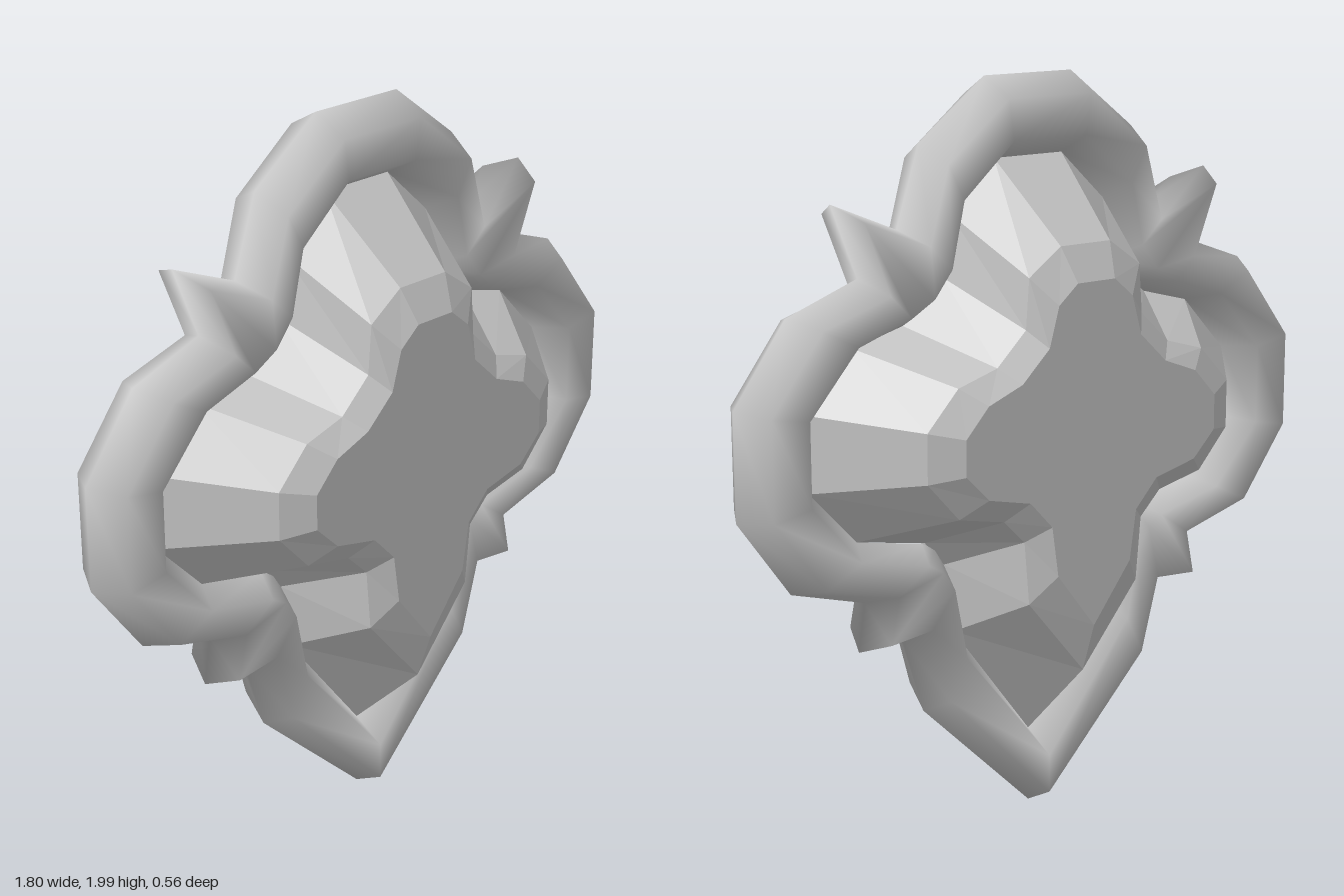
import * as THREE from 'three';

// Mirrors the right half of an outline (bottom point first) into a closed loop.
function mirrorLoop(half) {
  const left = half.slice(1).reverse().map((p) => p.map((v, i) => (i % 2 === 0 ? -v : v)));
  return [...half, ...left];
}

// Skins a closed loop of cross-sections; each section may be open or closed.
function skin(sections, closedSection) {
  const n = sections.length, m = sections[0].length;
  const index = [];
  for (let i = 0; i < n; i++) {
    for (let j = 0; j < (closedSection ? m : m - 1); j++) {
      const i2 = (i + 1) % n, j2 = (j + 1) % m;
      const a = i * m + j, b = i2 * m + j, c = i2 * m + j2, d = i * m + j2;
      index.push(a, b, c, a, c, d);
    }
  }
  const geometry = new THREE.BufferGeometry();
  geometry.setAttribute('position', new THREE.Float32BufferAttribute(sections.flat(2), 3));
  geometry.setIndex(index);
  return geometry;
}

// Frame stations: outer x, outer y, inner x, inner y.
const FRAME = [
  [0, 0.01, 0, 0.22],
  [0.35, 0.35, 0.25, 0.55],
  [0.415, 0.565, 0.28, 0.74],
  [0.55, 0.555, 0.31, 0.79], // lower thorn
  [0.53, 0.685, 0.35, 0.81],
  [0.75, 0.75, 0.55, 0.85],
  [0.9, 0.96, 0.69, 1.0],
  [0.9, 1.24, 0.69, 1.2],
  [0.745, 1.45, 0.55, 1.35],
  [0.535, 1.525, 0.4, 1.39],
  [0.61, 1.715, 0.33, 1.43], // upper thorn
  [0.415, 1.635, 0.275, 1.5],
  [0.345, 1.845, 0.25, 1.66],
  [0.14, 2.0, 0.11, 1.79],
];

// Gem outlines from the girdle to the flat table.
const GIRDLE = [[0, 0.22], [0.25, 0.55], [0.28, 0.74], [0.34, 0.81], [0.55, 0.85], [0.69, 1.0],
  [0.69, 1.2], [0.55, 1.35], [0.4, 1.39], [0.275, 1.5], [0.25, 1.66], [0.11, 1.79]];
const SHOULDER = [[0, 0.455], [0.18, 0.67], [0.195, 0.84], [0.26, 0.905], [0.4, 0.935], [0.495, 1.04],
  [0.495, 1.17], [0.4, 1.27], [0.28, 1.305], [0.19, 1.39], [0.18, 1.52], [0.08, 1.59]];
const TABLE = [[0, 0.59], [0.12, 0.745], [0.14, 0.88], [0.21, 0.955], [0.34, 0.985], [0.41, 1.055],
  [0.41, 1.15], [0.34, 1.225], [0.235, 1.265], [0.15, 1.345], [0.12, 1.45], [0.06, 1.5]];

export function createModel() {
  const model = new THREE.Group();
  model.name = 'ornament';
  const stone = new THREE.MeshStandardMaterial({ color: 0xc4c4c4 });
  stone.name = 'pale grey';
  const facet = new THREE.MeshStandardMaterial({ color: 0xc4c4c4, flatShading: true });
  facet.name = 'pale grey facets';

  // Rounded frame with a six-sided section and four thorns
  const bevel = 0.052, depth = 0.095;
  const frameSections = mirrorLoop(FRAME).map(([ox, oy, ix, iy]) => {
    const length = Math.hypot(ix - ox, iy - oy);
    const dx = ((ix - ox) / length) * bevel, dy = ((iy - oy) / length) * bevel;
    return [
      [ox, oy, 0], [ox + dx, oy + dy, depth], [ix - dx, iy - dy, depth],
      [ix, iy, 0], [ix - dx, iy - dy, -depth], [ox + dx, oy + dy, -depth],
    ];
  });
  const frameGeometry = skin(frameSections, true);
  frameGeometry.computeVertexNormals();
  const frame = new THREE.Mesh(frameGeometry, stone);
  frame.name = 'frame';
  model.add(frame);

  // Faceted gem sides, the same front and back
  const gem = new THREE.Group();
  gem.name = 'gem';
  const girdle = mirrorLoop(GIRDLE), shoulder = mirrorLoop(SHOULDER), table = mirrorLoop(TABLE);
  const levels = [[table, -0.28], [shoulder, -0.235], [girdle, 0], [shoulder, 0.235], [table, 0.28]];
  const gemSections = girdle.map((_, i) => levels.map(([ring, z]) => [...ring[i], z]));
  const sidesGeometry = skin(gemSections, false).toNonIndexed();
  sidesGeometry.computeVertexNormals();
  const sides = new THREE.Mesh(sidesGeometry, facet);
  sides.name = 'gemFacets';
  gem.add(sides);

  // Flat gem tables
  const tableShape = new THREE.Shape(table.map(([x, y]) => new THREE.Vector2(x, y)));
  for (const [name, side] of [['frontTable', 1], ['backTable', -1]]) {
    const face = new THREE.Mesh(new THREE.ShapeGeometry(tableShape), facet);
    face.name = name;
    face.position.z = side * 0.28;
    if (side < 0) face.rotation.y = Math.PI;
    gem.add(face);
  }
  model.add(gem);
  return model;
}
